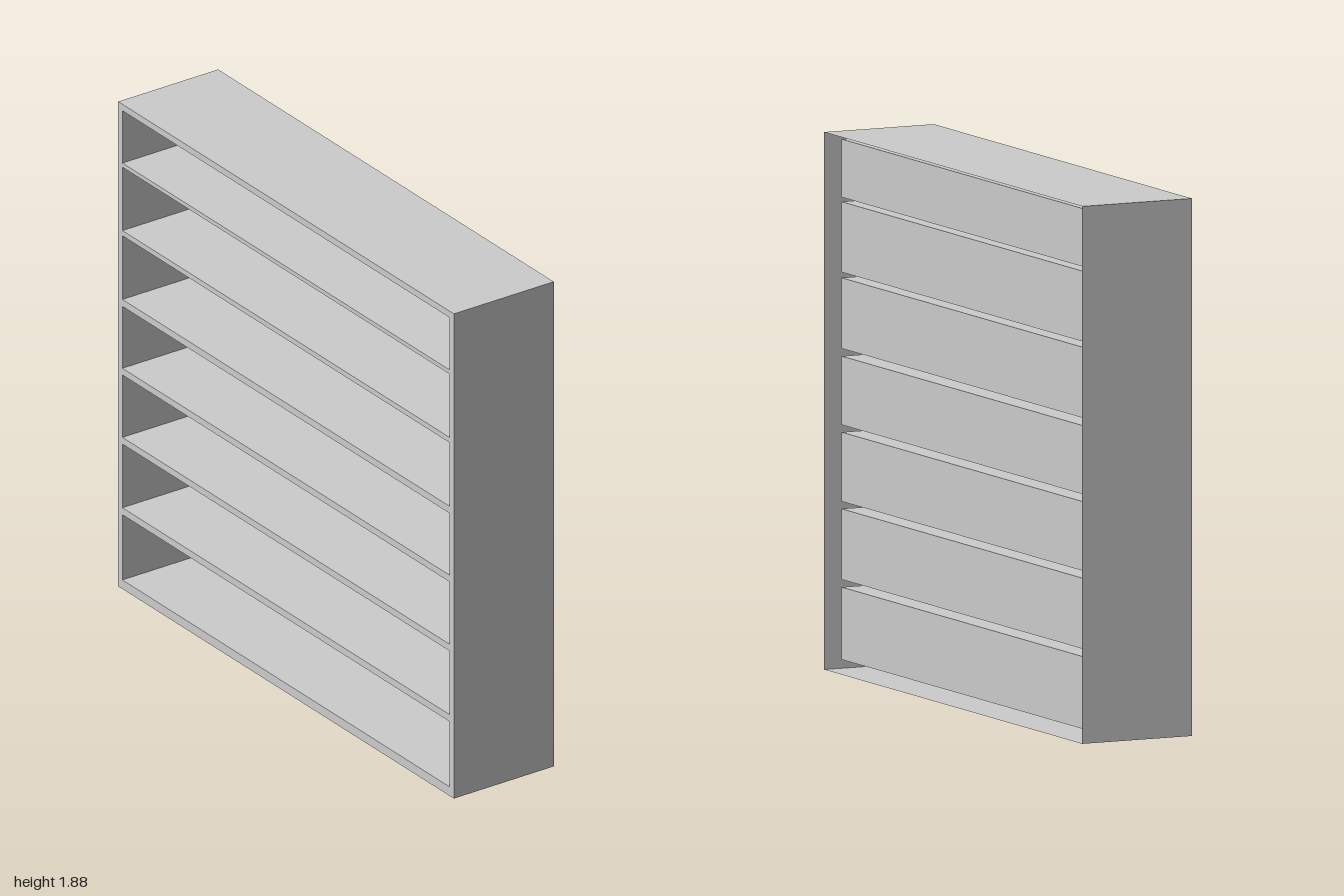
import * as THREE from 'three';

const WIDTH = 2, HEIGHT = 1.88, DEPTH = 0.425;
const FRONT = DEPTH / 2;
const CELL_HALF_WIDTH = 0.975, CELL_DEPTH = 0.37;

// Bottom and top of each compartment, from the floor up
const CELLS = [
  [0.035, 0.288], [0.315, 0.562], [0.588, 0.83], [0.856, 1.096],
  [1.123, 1.37], [1.39, 1.636], [1.652, 1.855],
];

// Thin-walled box without the listed sides (4 = front, 5 = back)
function openBox(w, h, d, openSides) {
  const geo = new THREE.BoxGeometry(w, h, d);
  const index = Array.from(geo.index.array);
  geo.setIndex(index.filter((_, i) => !openSides.includes(Math.floor(i / 6))));
  geo.clearGroups();
  return geo;
}

export function createModel() {
  const group = new THREE.Group();
  const material = new THREE.MeshStandardMaterial({ color: 0xcccccc, side: THREE.DoubleSide });

  const add = (name, geo, y, z) => {
    const mesh = new THREE.Mesh(geo, material);
    mesh.name = name;
    mesh.position.set(0, y, z);
    group.add(mesh);
  };

  // Outer casing: top, bottom and two sides
  add('outerCasing', openBox(WIDTH, HEIGHT, DEPTH, [4, 5]), HEIGHT / 2, 0);

  // Front frame with one opening per compartment
  const rect = (Type, x, y0, y1) => new Type([
    new THREE.Vector2(-x, y0), new THREE.Vector2(x, y0),
    new THREE.Vector2(x, y1), new THREE.Vector2(-x, y1),
  ]);
  const frame = rect(THREE.Shape, WIDTH / 2, 0, HEIGHT);
  for (const [y0, y1] of CELLS) frame.holes.push(rect(THREE.Path, CELL_HALF_WIDTH, y0, y1));
  add('frontFrame', new THREE.ShapeGeometry(frame), 0, FRONT);

  // Compartments: open at the front, their backs recessed inside the casing
  CELLS.forEach(([y0, y1], i) => {
    add(`compartment${i + 1}`, openBox(2 * CELL_HALF_WIDTH, y1 - y0, CELL_DEPTH, [4]),
      (y0 + y1) / 2, FRONT - CELL_DEPTH / 2);
  });

  return group;
}
